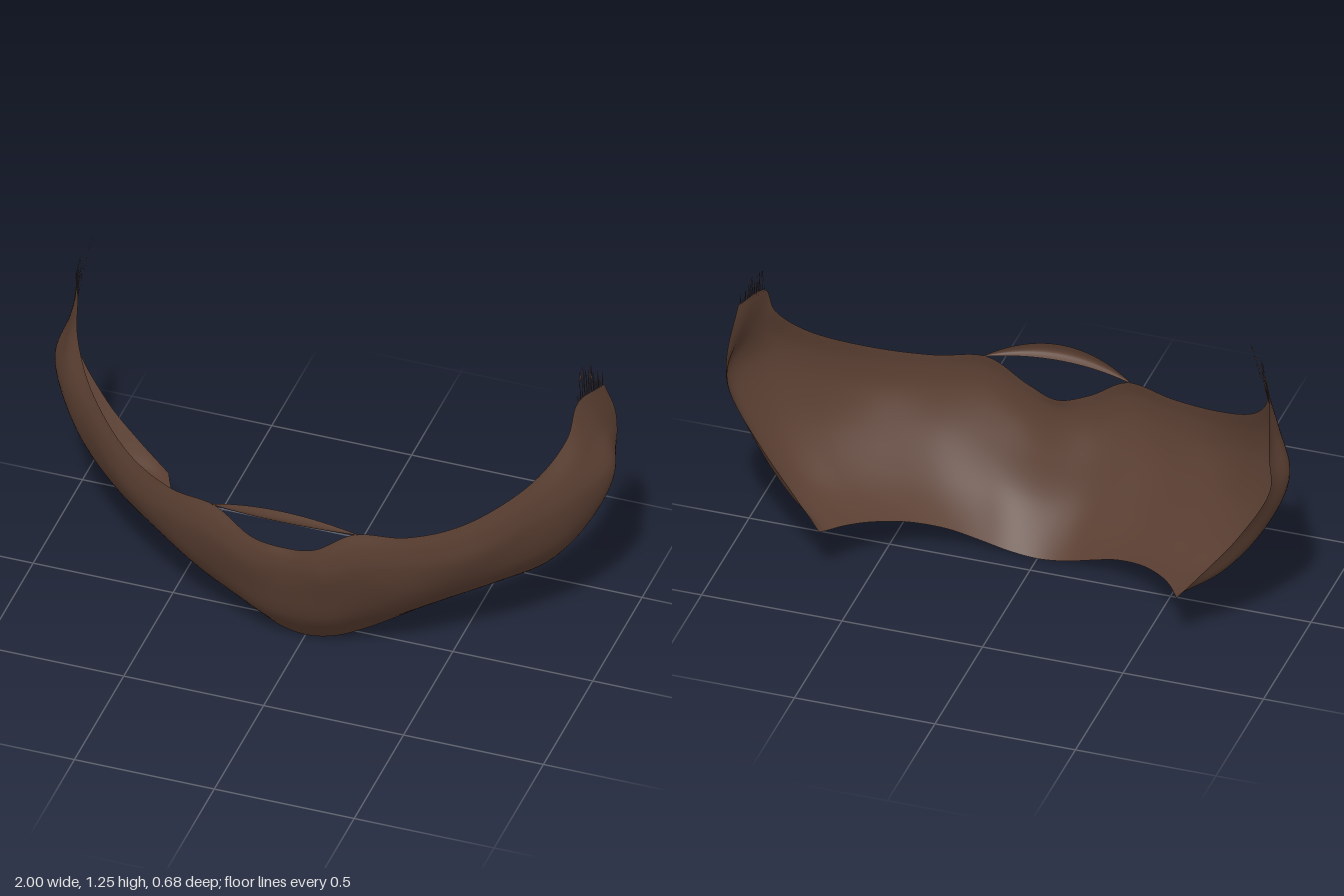
import * as THREE from 'three';

const V = (p) => new THREE.Vector3(...p);

// Cross-sections of the beard, each from its lower edge to its upper edge
const chinColumns = [
  [[0, 0, .075], [0, .155, .198], [0, .3, .256], [0, .41, .285], [0, .47, .29], [0, .51, .283]],
  [[.1, .015, .068], [.12, .165, .194], [.13, .31, .258], [.13, .42, .296], [.12, .49, .304], [.11, .54, .3]],
  [[.2, .054, .045], [.23, .2, .175], [.25, .35, .25], [.26, .49, .293], [.255, .57, .297], [.25, .63, .287]],
  [[.3, .1, .007], [.36, .22, .12], [.4, .36, .203], [.42, .49, .241], [.425, .57, .246], [.42, .628, .243]],
];
const cheekColumns = [
  [[.42, .148, -.067], [.5, .25, .03], [.57, .38, .105], [.61, .51, .152], [.61, .6, .162], [.6, .67, .16]],
  [[.52, .183, -.16], [.64, .275, -.08], [.74, .42, -.01], [.79, .59, .02], [.8, .7, .02], [.79, .79, .01]],
  [[.58, .205, -.239], [.76, .307, -.18], [.875, .48, -.125], [.935, .69, -.1], [.915, .82, -.093], [.875, .92, -.095]],
  [[.62, .22, -.308], [.765, .312, -.265], [.912, .5, -.225], [.998, .73, -.225], [.945, .89, -.2], [.893, 1.035, -.15]],
  [[.635, .23, -.34], [.74, .36, -.322], [.845, .5, -.312], [.962, .72, -.322], [.965, .87, -.339], [.945, 1.04, -.275]],
];

// Smooth sheet through a grid of columns of points
function loft(columns, nu, nv) {
  const rows = columns[0].map((_, j) => new THREE.CatmullRomCurve3(columns.map((c) => V(c[j]))));
  const pos = [], index = [];
  for (let i = 0; i <= nu; i++) {
    const column = new THREE.CatmullRomCurve3(rows.map((r) => r.getPoint(i / nu)));
    for (let j = 0; j <= nv; j++) {
      pos.push(...column.getPoint(j / nv).toArray());
      if (i < nu && j < nv) {
        const a = i * (nv + 1) + j, b = a + nv + 1;
        index.push(a, b, b + 1, a, b + 1, a + 1);
      }
    }
  }
  const g = new THREE.BufferGeometry();
  g.setAttribute('position', new THREE.Float32BufferAttribute(pos, 3));
  g.setIndex(index);
  g.computeVertexNormals();
  return g;
}

// Ragged tips: thin slivers rising from the top of one sideburn
function fringe(side, seed) {
  let s = seed;
  const rand = () => (s = (s * 16807) % 2147483647) / 2147483647;
  const pos = [];
  const sliver = (x, y, z, w, h) => {
    const lean = -.35 * h;
    const p = [[x, y, z + w], [x, y, z - w], [x - .004, y + h * .6, z - w * .8 + lean * .6],
      [x - .008, y + h, z + lean], [x - .004, y + h * .5, z + w * .8 + lean * .5]];
    for (const k of [0, 1, 2, 0, 2, 4, 4, 2, 3]) pos.push(side * p[k][0], p[k][1], p[k][2]);
  };
  // rooted hairs
  const n = 14;
  for (let i = 0; i < n; i++) {
    const t = (i + .5) / n;
    sliver(.893 + .05 * t, 1.03, -.15 - .118 * t, .0045, .03 + .07 * rand());
  }
  // loose hairs
  for (let i = 0; i < 8; i++) {
    const t = rand();
    sliver(.888 + .035 * t, 1.075 + .04 * rand(), -.165 - .085 * t, .0035, .025 + .025 * rand());
  }
  // taller wisps on one side only
  if (side < 0) for (let i = 0; i < 4; i++) sliver(.9 - .007 * i, 1.1 + .038 * i, -.222 - .007 * i, .005, .032);
  const g = new THREE.BufferGeometry();
  g.setAttribute('position', new THREE.Float32BufferAttribute(pos, 3));
  g.computeVertexNormals();
  return g;
}

export function createModel() {
  const group = new THREE.Group();
  const brown = new THREE.MeshStandardMaterial({ color: 0x5c4033, side: THREE.DoubleSide });
  brown.name = 'brown hair';
  const add = (name, geometry) => {
    const mesh = new THREE.Mesh(geometry, brown);
    mesh.name = name;
    group.add(mesh);
  };

  // Beard sheet, mirrored about the chin, curling inward at the jaw's back edge
  const half = [...chinColumns, ...cheekColumns];
  const mirrored = half.slice(1).reverse().map((c) => c.map(([x, y, z]) => [-x, y, z]));
  add('beard', loft([...mirrored, ...half], 128, 40));

  // Narrow curled moustache bridging the mouth opening
  const profile = [[.017, .036], [.028, .052], [.042, .057], [.072, .05]];
  const lip = [];
  for (let i = 0; i <= 12; i++) {
    const x = -.27 + .045 * i, f = 1 - (x / .27) ** 2;
    lip.push(profile.map(([dy, dz]) => [x, .628 + f * dy, .283 + f * dz]));
  }
  add('moustache', loft(lip, 48, 8));

  // Wispy sideburn ends
  add('leftSideburnTips', fringe(1, 41));
  add('rightSideburnTips', fringe(-1, 977));
  return group;
}
